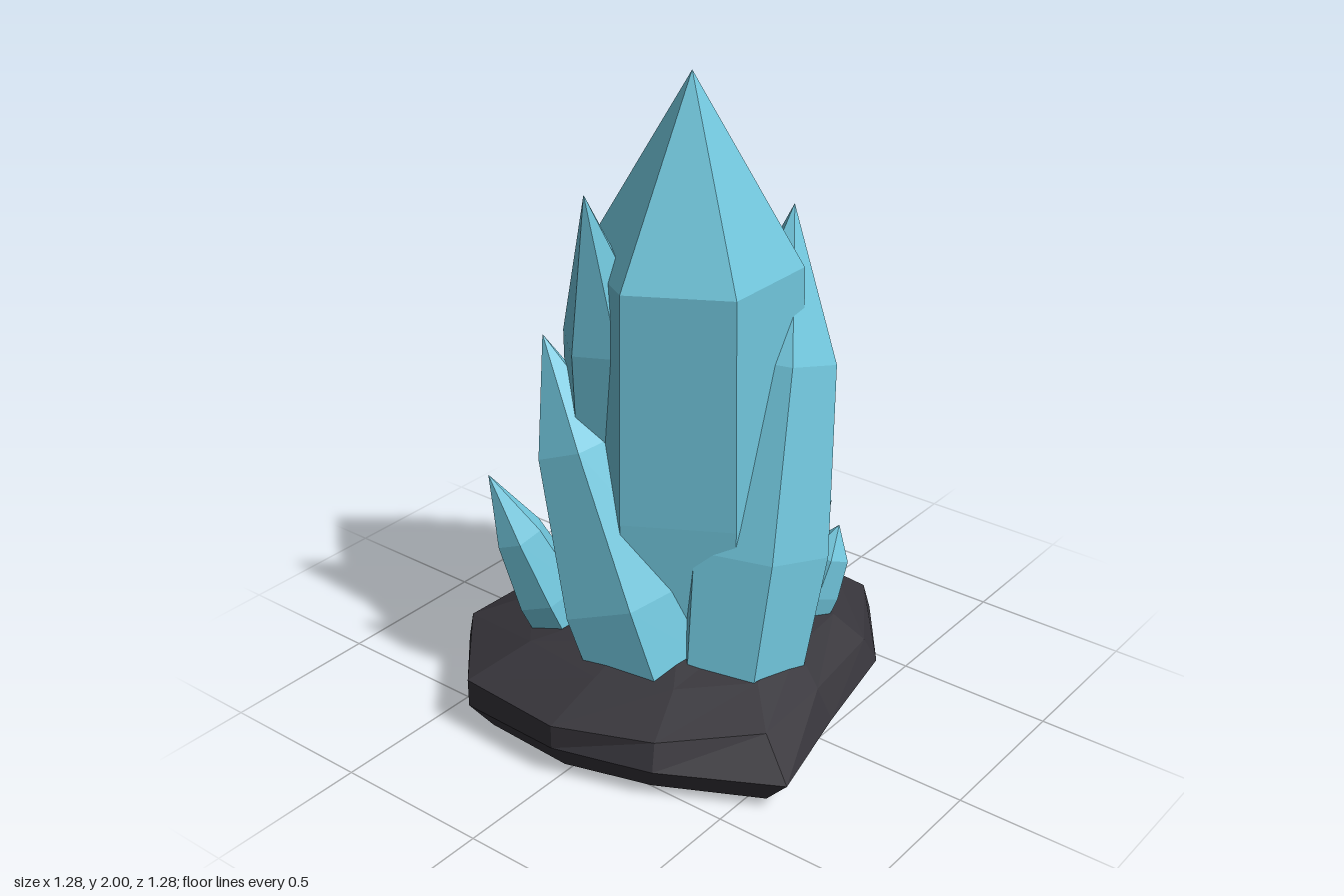
import * as THREE from 'three';

const crystalMat = new THREE.MeshStandardMaterial({ color: 0x70c5db, flatShading: true });
crystalMat.name = 'ice blue';
const rockMat = new THREE.MeshStandardMaterial({ color: 0x36343a, flatShading: true });
rockMat.name = 'dark stone';

// Six-sided pointed prism from base to tip; radii at the foot, the belly and the shoulder
function crystal(name, base, tip, [rBase, rBelly, rShoulder], belly, shoulder, spin) {
  const from = new THREE.Vector3(...base);
  const axis = new THREE.Vector3(...tip).sub(from);
  const h = axis.length();
  const profile = [[0, 0], [rBase, 0], [rBelly, h * belly], [rShoulder, h * shoulder], [0, h]]
    .map(([r, y]) => new THREE.Vector2(r, y));
  const geo = new THREE.LatheGeometry(profile, 6);
  geo.rotateY(THREE.MathUtils.degToRad(spin));
  const mesh = new THREE.Mesh(geo, crystalMat);
  mesh.name = name;
  mesh.position.copy(from);
  mesh.quaternion.setFromUnitVectors(new THREE.Vector3(0, 1, 0), axis.normalize());
  return mesh;
}

// Irregular slab: one outline scaled into stacked rings
function rock() {
  // x, z, then how far the lower and upper halves pull in at that corner
  const outline = [
    [-0.64, -0.02, 1, 1], [-0.635, -0.38, 0.98, 0.98], [-0.35, -0.63, 1, 0.98],
    [0.02, -0.64, 1, 0.97], [0.34, -0.53, 1, 0.98], [0.64, -0.31, 0.94, 1],
    [0.62, 0, 0.96, 0.98], [0.6, 0.29, 1, 0.96], [0.34, 0.485, 1, 0.93],
    [0, 0.545, 1, 0.9], [-0.37, 0.64, 1, 0.8], [-0.55, 0.29, 1, 0.94],
  ];
  // scale, height, x shift, half
  const rings = [
    [0, 0, 0, 2], [0.84, 0, -0.03, 2], [0.87, 0.01, -0.03, 2], [1, 0.095, 0, 2],
    [1, 0.18, 0, 3], [0.77, 0.25, 0.05, 3], [0.48, 0.295, 0.02, 3], [0, 0.31, 0, 3],
  ];
  const n = outline.length, pos = [], index = [];
  rings.forEach(([s, y, dx, half], k) => {
    outline.forEach((corner, i) => {
      const f = s * corner[half];
      const wobble = k > 2 && k < 6 ? 0.008 * Math.sin(i * 2.3 + k) : 0;
      pos.push(corner[0] * f + dx, y + wobble, corner[1] * f);
    });
  });
  for (let k = 0; k < rings.length - 1; k++) {
    for (let i = 0; i < n; i++) {
      const a = k * n + i, b = k * n + (i + 1) % n;
      index.push(b, a, a + n, b, a + n, b + n);
    }
  }
  const geo = new THREE.BufferGeometry();
  geo.setAttribute('position', new THREE.Float32BufferAttribute(pos, 3));
  geo.setIndex(index);
  geo.computeVertexNormals();
  const mesh = new THREE.Mesh(geo, rockMat);
  mesh.name = 'rockBase';
  return mesh;
}

export function createModel() {
  const model = new THREE.Group();
  model.name = 'crystalCluster';
  model.add(
    rock(),
    crystal('mainCrystal', [0.035, 0.15, -0.02], [0.03, 2, -0.015], [0.335, 0.345, 0.328], 0.3, 0.692, 30),
    // Tall leaning crystals
    crystal('frontCrystal', [-0.07, 0.16, 0.23], [0.3, 1.57, 0.155], [0.205, 0.24, 0.188], 0.29, 0.69, 20),
    crystal('backCrystal', [0.1, 0.16, -0.2], [-0.28, 1.69, -0.155], [0.215, 0.24, 0.145], 0.29, 0.7, 20),
    // Shorter side crystals
    crystal('leftCrystal', [0.285, 0.16, -0.06], [0.305, 0.86, 0.17], [0.22, 0.245, 0.2], 0.3, 0.73, 12),
    crystal('rightCrystal', [-0.19, 0.16, 0.02], [-0.24, 1.2, -0.365], [0.22, 0.23, 0.145], 0.25, 0.69, 12),
    // Small shards
    crystal('smallFrontCrystal', [0.255, 0.2, 0.25], [0.35, 0.53, 0.32], [0.075, 0.085, 0.07], 0.35, 0.72, 10),
    crystal('smallBackCrystal', [-0.24, 0.18, -0.28], [-0.405, 0.77, -0.455], [0.1, 0.11, 0.08], 0.3, 0.65, 15),
  );
  return model;
}
